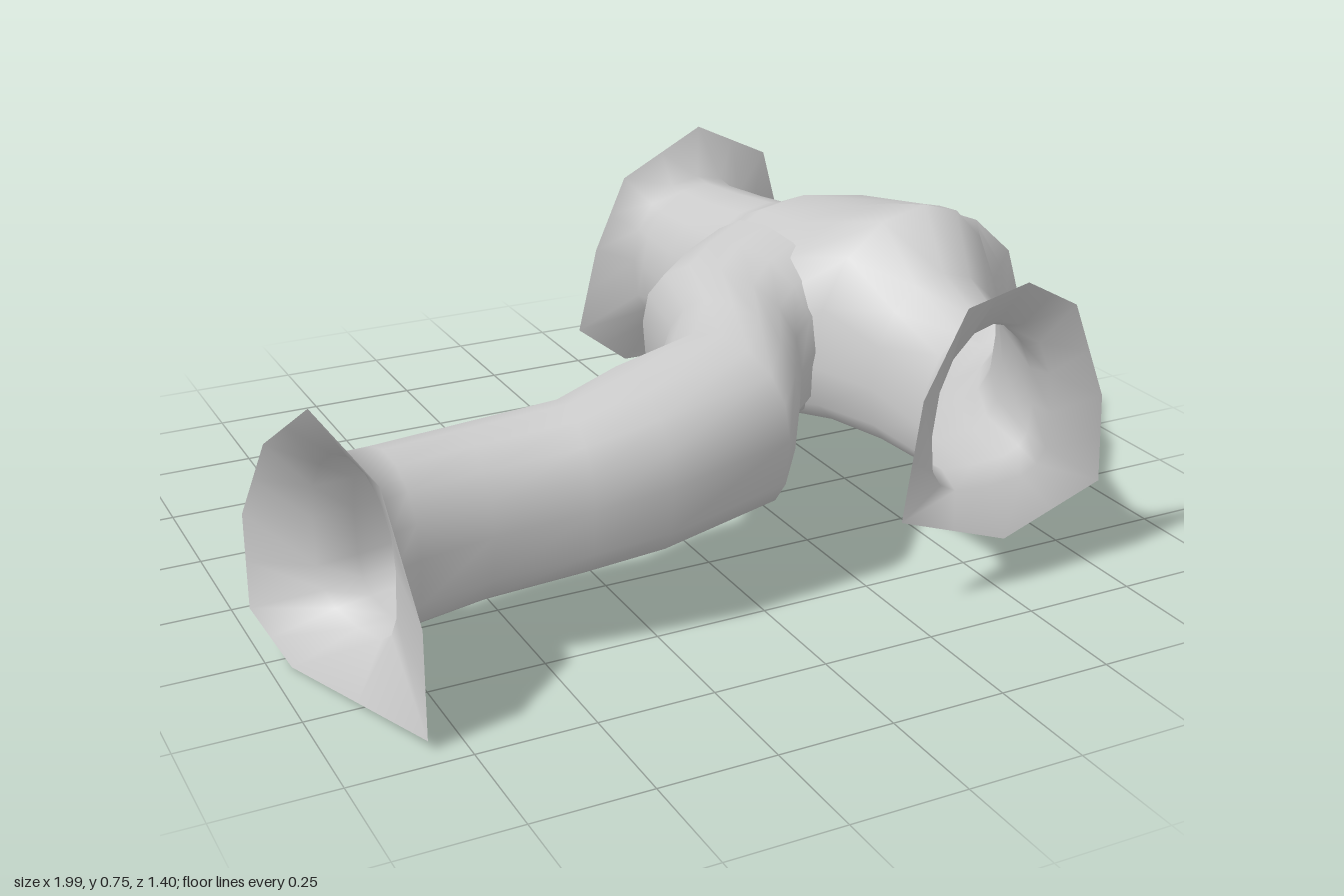
import * as THREE from 'three';

const N = 16; // points per ring
const material = new THREE.MeshStandardMaterial({ color: 0xcccccc, side: THREE.DoubleSide });

// Unit ring point: round above, squarer towards the floor
function ringPoint(i) {
  const a = (i / N) * Math.PI * 2;
  const c = Math.cos(a), s = Math.sin(a);
  const e = s < -1e-6 ? 0.6 : 0.96;
  return [Math.sign(c) * Math.abs(c) ** e, Math.sign(s) * Math.abs(s) ** e];
}

// Oval cross-section with its own widest height and peak position
function oval(left, right, bottom, top, peak = (left + right) / 2, mid = (bottom + top) / 2) {
  return Array.from({ length: N }, (_, i) => {
    const [c, s] = ringPoint(i);
    return [
      peak + c * (c > 0 ? right - peak : peak - left),
      mid + s * (s > 0 ? top - mid : mid - bottom),
    ];
  });
}

// Irregular eight-cornered rim, subdivided to match the rings
function rim(corners) {
  return Array.from({ length: N }, (_, i) => {
    const p = corners[i >> 1], q = corners[((i >> 1) + 1) % 8], t = (i % 2) / 2;
    return [p[0] + (q[0] - p[0]) * t, p[1] + (q[1] - p[1]) * t];
  });
}

// Skin a list of rings into an open tube; skip(s, i) leaves out a panel
function skin(name, rings, skip = () => false) {
  const index = [];
  for (let s = 0; s < rings.length - 1; s++) {
    for (let i = 0; i < N; i++) {
      if (skip(s, i)) continue;
      const a = s * N + i, b = s * N + ((i + 1) % N);
      index.push(a, b, a + N, b, b + N, a + N);
    }
  }
  const geometry = new THREE.BufferGeometry();
  geometry.setAttribute('position', new THREE.Float32BufferAttribute(rings.flat(2), 3));
  geometry.setIndex(index);
  geometry.computeVertexNormals();
  const mesh = new THREE.Mesh(geometry, material);
  mesh.name = name;
  return mesh;
}

// Straight passage that swells into the chamber, flared at both ends
function mainTunnel() {
  const backRim = rim([[0.72, 0.36], [0.65, 0.62], [0.46, 0.71], [0.25, 0.6],
    [0.17, 0.42], [0.12, 0.21], [0.25, 0.11], [0.6, 0.11]]);
  const frontRim = rim([[0.74, 0.4], [0.65, 0.62], [0.52, 0.69], [0.37, 0.66],
    [0.27, 0.48], [0.23, 0.22], [0.5, 0.12], [0.75, 0.2]]);
  // z, left, right, bottom, top, peak x, widest y
  const sections = [
    [-0.66, 0.26, 0.61, 0.22, 0.59, 0.44, 0.39],
    [-0.61, 0.26, 0.6, 0.235, 0.585, 0.44, 0.39],
    [-0.45, 0.24, 0.61, 0.245, 0.6, 0.44, 0.39],
    [-0.29, 0.24, 0.63, 0.255, 0.62, 0.44, 0.39],
    [-0.25, 0.23, 0.65, 0.255, 0.63, 0.44, 0.4],
    [-0.16, 0.17, 0.85, 0.25, 0.67, 0.46, 0.4],
    [-0.02, 0.14, 0.99, 0.24, 0.675, 0.51, 0.39],
    [0.1, 0.17, 0.87, 0.24, 0.71, 0.53, 0.39],
    [0.24, 0.26, 0.74, 0.25, 0.745, 0.53, 0.41],
    [0.38, 0.32, 0.66, 0.25, 0.635, 0.49, 0.4],
    [0.54, 0.34, 0.625, 0.255, 0.578, 0.48, 0.37],
    [0.6, 0.33, 0.63, 0.23, 0.6, 0.48, 0.37],
  ];
  const rings = sections.map(([z, ...size]) => oval(...size).map(([x, y]) => [x, y, z]));
  rings.unshift(backRim.map(([x, y]) => [x, y, -0.695 + 0.01 * (x - 0.4)]));
  rings.push(frontRim.map(([x, y]) => [x, y, 0.65 - 0.05 * (x - 0.3)]));
  // Panels left out where the side passage opens into the chamber
  const doorway = (s, i) => s >= 6 && s <= 7 && (i === 7 || i === 8);
  return skin('mainTunnel', rings, doorway);
}

// Branch that bends out of the chamber and ends in a slanted flare
function sideTunnel() {
  // back edge x, z, front edge x, z, bottom, top
  const sections = [
    [0.26, -0.29, 0.32, 0.22, 0.26, 0.655],
    [0.14, -0.22, 0.26, 0.24, 0.255, 0.635],
    [0.03, -0.14, 0.2, 0.29, 0.25, 0.61],
    [0.01, 0.02, 0.12, 0.42, 0.235, 0.585],
    [-0.09, 0.16, 0.04, 0.52, 0.21, 0.565],
    [-0.24, 0.175, -0.24, 0.55, 0.17, 0.53],
    [-0.38, 0.23, -0.4, 0.53, 0.155, 0.495],
    [-0.6, 0.215, -0.6, 0.5, 0.13, 0.472],
    [-0.8, 0.255, -0.76, 0.53, 0.125, 0.478],
    [-0.89, 0.27, -0.82, 0.56, 0.125, 0.485],
  ];
  const rings = sections.map(([ax, az, bx, bz, bottom, top]) =>
    oval(0, 1, bottom, top).map(([t, y]) => [ax + (bx - ax) * t, y, az + (bz - az) * t]));
  const endRim = rim([[0.7, 0.25], [0.6, 0.5], [0.4, 0.59], [0.25, 0.47],
    [0.16, 0.29], [0.16, 0.08], [0.29, 0], [0.7, 0.02]]);
  rings.push(endRim.map(([z, y]) => [-1 + (z - 0.16) * 0.33, y, z]));
  return skin('sideTunnel', rings);
}

export function createModel() {
  const group = new THREE.Group();
  group.name = 'caveTunnel';
  group.add(mainTunnel(), sideTunnel());
  return group;
}
